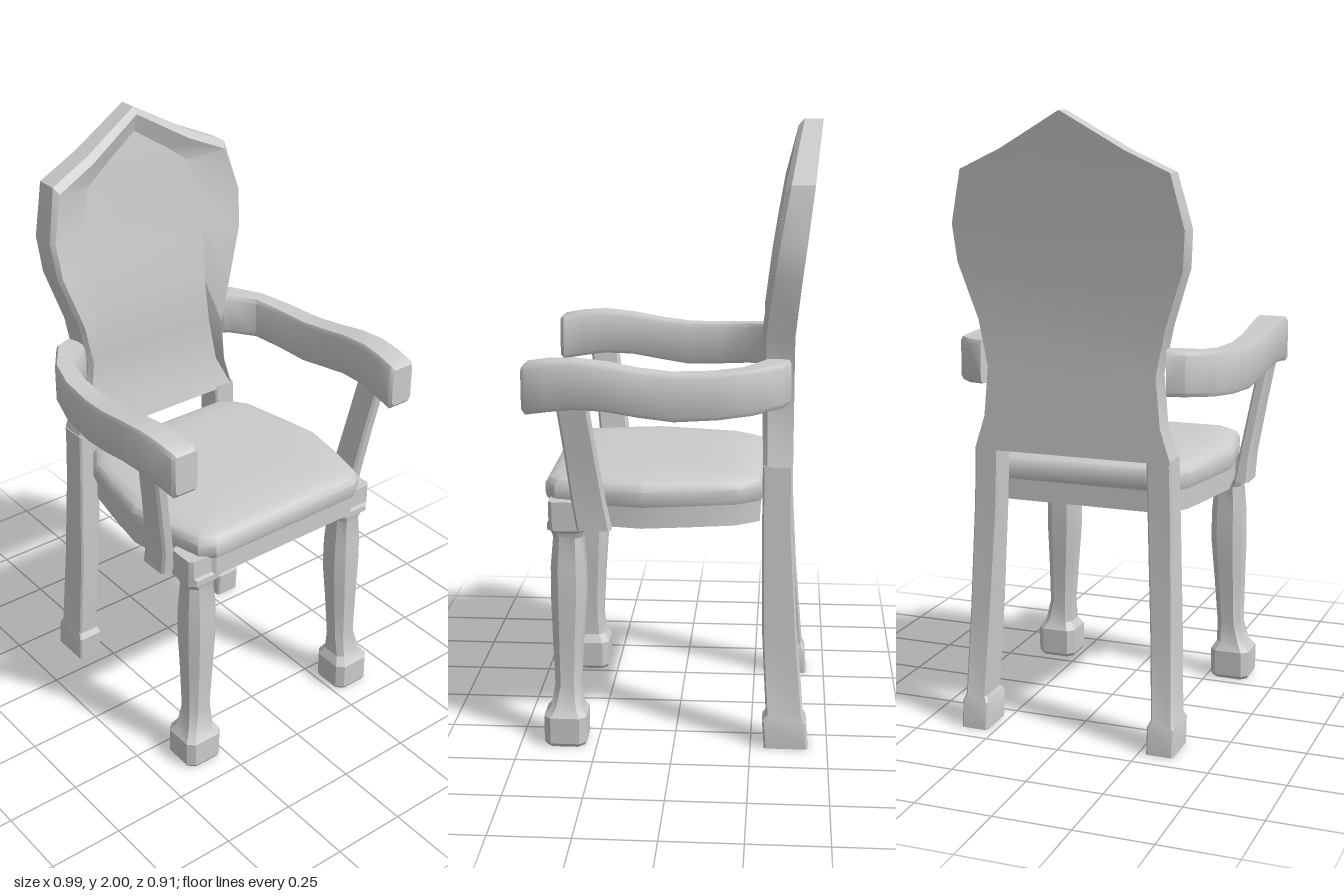
import * as THREE from 'three';
import { mergeVertices, toCreasedNormals } from 'three/addons/utils/BufferGeometryUtils.js';

const material = new THREE.MeshStandardMaterial({ color: 0xcccccc });

// Closed solid through rings of equal point count, capped at both ends, facing outward.
function loft(rings, crease = 0.6) {
  const n = rings[0].length, pos = rings.flat(2), faces = [];
  for (let r = 0; r < rings.length - 1; r++) {
    for (let i = 0; i < n; i++) {
      const a = r * n + i, b = r * n + (i + 1) % n;
      faces.push([a, b, b + n], [a, b + n, a + n]);
    }
  }
  [0, rings.length - 1].forEach((r) => {
    const c = pos.length / 3;
    for (let k = 0; k < 3; k++) pos.push(rings[r].reduce((s, p) => s + p[k], 0) / n);
    for (let i = 0; i < n; i++) {
      const a = r * n + i, b = r * n + (i + 1) % n;
      faces.push(r ? [a, b, c] : [b, a, c]);
    }
  });
  // Signed volume tells whether the winding must be flipped
  const v = (i) => new THREE.Vector3().fromArray(pos, i * 3);
  const volume = faces.reduce((s, [a, b, c]) => s + v(a).dot(v(b).cross(v(c))), 0);
  if (volume < 0) faces.forEach((f) => f.reverse());
  const g = new THREE.BufferGeometry();
  g.setAttribute('position', new THREE.Float32BufferAttribute(pos, 3));
  g.setIndex(faces.flat());
  return toCreasedNormals(mergeVertices(g), crease);
}

// Rectangle with cut corners: eight [u, v] points around the origin
function cutRect(w, h, c) {
  return [[w - c, -h], [w, -h + c], [w, h - c], [w - c, h],
    [-w + c, h], [-w, h - c], [-w, -h + c], [-w + c, -h]];
}

// Horizontal cut-corner ring
const ring = (x, y, z, w, d, c) => cutRect(w, d, c).map(([u, v]) => [x + u, y, z + v]);

// Piecewise linear lookup in [key, value] pairs
function lerpTable(table, t) {
  for (let i = 1; i < table.length; i++) {
    const [a, va] = table[i - 1], [b, vb] = table[i];
    if (t <= b) return va + (vb - va) * Math.max(0, (t - a) / (b - a));
  }
  return table[table.length - 1][1];
}

// Backrest: outer shape, leaning back at the top, with a dished front panel
function backrest() {
  const front = [[0.93, -0.28], [1.38, -0.27], [1.77, -0.33], [2, -0.38]];
  const back = [[0.93, -0.375], [1.38, -0.375], [1.83, -0.43], [2, -0.455]];
  // y, half width, panel y, panel half width, dish depth
  const rows = [
    [0.93, 0.33, 0.93, 0.29, 0], [1.04, 0.295, 1.04, 0.27, 0.03],
    [1.2, 0.28, 1.2, 0.24, 0.035], [1.35, 0.31, 1.35, 0.225, 0.04],
    [1.53, 0.37, 1.53, 0.235, 0.04], [1.65, 0.38, 1.64, 0.24, 0.04],
    [1.82, 0.34, 1.78, 0.2, 0.04], [1.885, 0.2, 1.84, 0.12, 0.035],
    [2, 0, 1.92, 0, 0.03]];
  return loft(rows.map(([y, x, py, px, dish]) => {
    const top = y > 1.7 ? 0.02 : 0;
    const half = [
      [x, y, lerpTable(back, y)],
      [x, y, lerpTable(front, y) - 0.015],
      [Math.max(0, x - 0.012), y - top, lerpTable(front, y - top)],
      [px, py, lerpTable(front, py) - dish]];
    return [...half, ...half.map(([a, b, c]) => [-a, b, c]).reverse()];
  }), 0.4);
}

// Seat layer: the plan outline at several heights, each [y, scale]
function seatLayer(levels) {
  const half = [[0.29, 0.415], [0.335, 0.38], [0.365, 0.25], [0.39, 0.1],
    [0.365, -0.05], [0.335, -0.2], [0.28, -0.28]];
  const plan = [...half, ...half.map(([x, z]) => [-x, z]).reverse()];
  return loft(levels.map(([y, s]) => plan.map(([x, z]) => [x * s, y, 0.067 + (z - 0.067) * s])));
}

// Turned front leg with a block foot: [y, x, z, half width, corner cut]
function frontLeg(s) {
  const rows = [
    [0, 0.332, 0.352, 0.062, 0.02], [0.012, 0.332, 0.352, 0.069, 0.022],
    [0.1, 0.332, 0.352, 0.069, 0.022], [0.128, 0.33, 0.35, 0.05, 0.018],
    [0.2, 0.322, 0.346, 0.042, 0.02], [0.36, 0.317, 0.344, 0.049, 0.024],
    [0.5, 0.313, 0.341, 0.056, 0.027], [0.6, 0.312, 0.341, 0.055, 0.026],
    [0.7, 0.312, 0.34, 0.047, 0.022], [0.72, 0.313, 0.34, 0.052, 0.02],
    [0.73, 0.314, 0.34, 0.063, 0.02], [0.75, 0.314, 0.34, 0.063, 0.02],
    [0.76, 0.325, 0.345, 0.052, 0.012], [0.825, 0.325, 0.345, 0.052, 0.012]];
  return loft(rows.map(([y, x, z, w, c]) => ring(s * x, y, z, w, w, c)), 0.5);
}

// Swept back leg: [y, inner x, outer x, back z, front z]
function backLeg(s) {
  const rows = [
    [0, 0.275, 0.365, -0.437, -0.295], [0.09, 0.275, 0.365, -0.43, -0.288],
    [0.11, 0.285, 0.357, -0.42, -0.3], [0.4, 0.272, 0.347, -0.395, -0.284],
    [0.75, 0.255, 0.336, -0.375, -0.28], [0.94, 0.25, 0.33, -0.375, -0.28]];
  return loft(rows.map(([y, xi, xo, zb, zf]) =>
    ring(s * (xi + xo) / 2, y, (zb + zf) / 2, (xo - xi) / 2, (zf - zb) / 2, 0.006)), 0.5);
}

// Armrest: [inner x, inner z, outer x, outer z, bottom y, top y]
function armrest(s) {
  const rows = [
    [0.285, -0.29, 0.31, -0.365, 1.14, 1.28], [0.305, -0.28, 0.365, -0.345, 1.138, 1.28],
    [0.375, -0.215, 0.433, -0.25, 1.128, 1.27], [0.395, -0.12, 0.465, -0.145, 1.12, 1.262],
    [0.405, 0, 0.48, -0.01, 1.115, 1.26], [0.41, 0.1, 0.49, 0.1, 1.13, 1.272],
    [0.408, 0.2, 0.495, 0.2, 1.148, 1.29], [0.402, 0.3, 0.494, 0.3, 1.152, 1.3],
    [0.393, 0.38, 0.489, 0.38, 1.142, 1.296], [0.386, 0.445, 0.483, 0.445, 1.132, 1.285],
    [0.394, 0.457, 0.475, 0.457, 1.145, 1.275]];
  return loft(rows.map(([xi, zi, xo, zo, yb, yt]) =>
    cutRect(1, 1, 0.18).map(([u, v]) => {
      const t = (u + 1) / 2;
      return [s * (xi + (xo - xi) * t), yb + (yt - yb) * (v + 1) / 2, zi + (zo - zi) * t];
    })), 0.65);
}

// Slanted post between the seat rail and the armrest
function armPost(s) {
  const rows = [[0.745, 0.392, 0.247, 0.025, 0.054], [0.83, 0.399, 0.262, 0.021, 0.053],
    [1.0, 0.426, 0.283, 0.02, 0.05], [1.18, 0.456, 0.306, 0.02, 0.049]];
  return loft(rows.map(([y, x, z, w, d]) => ring(s * x, y, z, w, d, 0.008)));
}

export function createModel() {
  const model = new THREE.Group();
  model.name = 'armchair';
  const add = (name, geometry) => {
    const mesh = new THREE.Mesh(geometry, material);
    mesh.name = name;
    model.add(mesh);
  };
  add('backrest', backrest());
  add('seatRail', seatLayer([[0.745, 0.975], [0.825, 0.975]]));
  add('seatCushion', seatLayer([[0.815, 0.985], [0.83, 1], [0.865, 1], [0.885, 0.97],
    [0.898, 0.9], [0.906, 0.72], [0.91, 0.4]]));
  for (const [side, s] of [['left', 1], ['right', -1]]) {
    add(side + 'FrontLeg', frontLeg(s));
    add(side + 'BackLeg', backLeg(s));
    add(side + 'Armrest', armrest(s));
    add(side + 'ArmPost', armPost(s));
  }
  return model;
}
